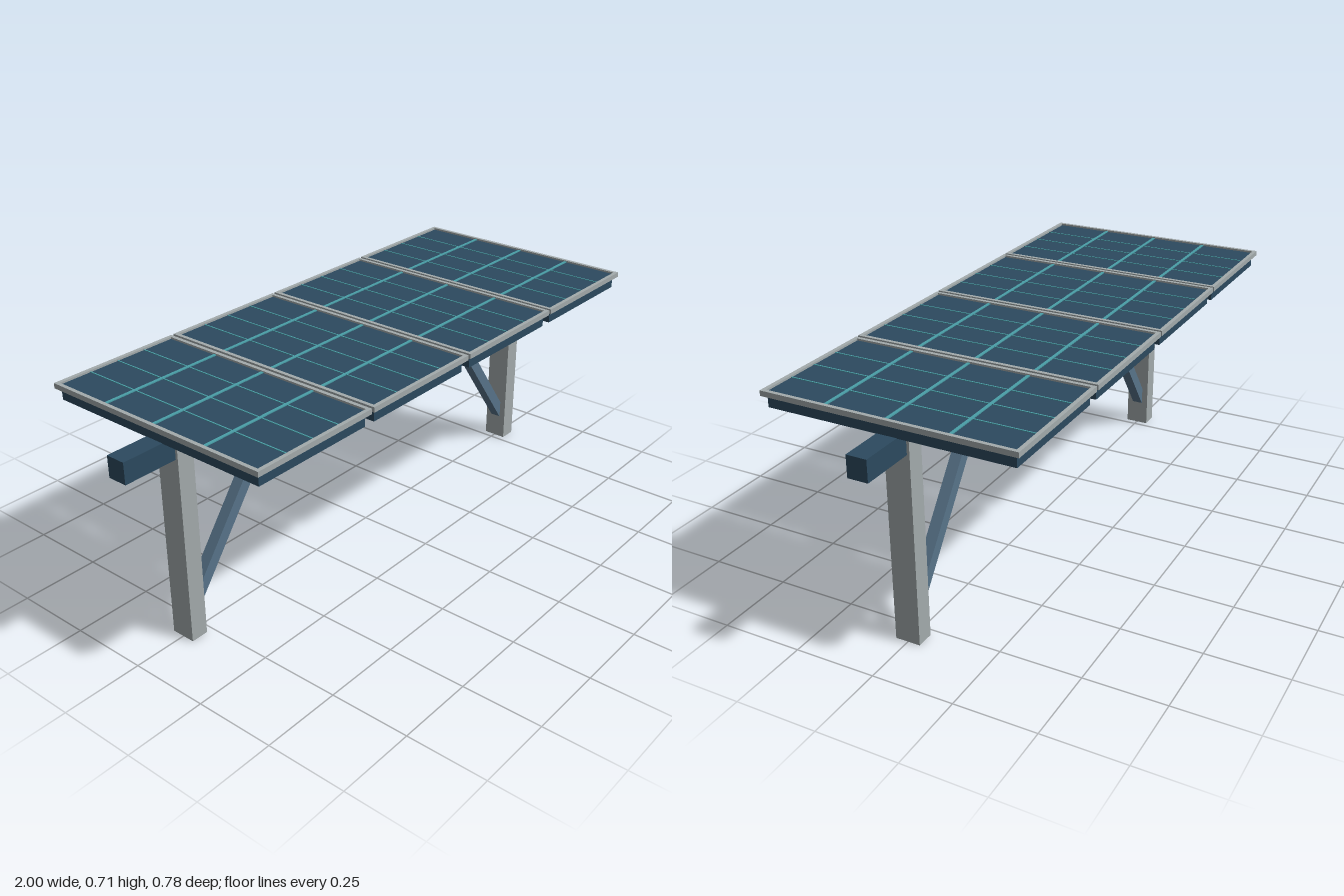
import * as THREE from 'three';

const mat = (name, color) => {
  const m = new THREE.MeshStandardMaterial({ color });
  m.name = name;
  return m;
};

export function createModel() {
  const navy = mat('navy', 0x2c4a5f);
  const steel = mat('pale steel', 0xa3abac);
  const slate = mat('slate', 0x58748a);
  const teal = mat('teal', 0x4a9fa8);

  const model = new THREE.Group();
  model.name = 'solarCanopy';

  const box = (parent, name, material, [w, h, d], [x, y, z]) => {
    const mesh = new THREE.Mesh(new THREE.BoxGeometry(w, h, d), material);
    mesh.name = name;
    mesh.position.set(x, y, z);
    parent.add(mesh);
    return mesh;
  };

  // Main beam along the canopy
  box(model, 'beam', navy, [2, 0.066, 0.062], [0, 0.625, 0]);

  // Posts and diagonal braces, mirrored
  for (const s of [-1, 1]) {
    const side = s > 0 ? 'left' : 'right';
    box(model, side + 'Post', steel, [0.056, 0.657, 0.078], [s * 0.8, 0.3285, 0]);
    const low = new THREE.Vector2(0.785, 0.093);
    const high = new THREE.Vector2(0.41, 0.605);
    const run = high.clone().sub(low);
    const brace = box(model, side + 'Brace', slate, [0.036, run.length(), 0.036],
      [s * (low.x + high.x) / 2, (low.y + high.y) / 2, 0]);
    brace.rotation.z = s * Math.atan2(-run.x, run.y);
  }

  // Rectangular rim with an opening for the glass
  const W = 0.434, D = 0.778, RIM = 0.012;
  const rect = (Type, w, d) => {
    const p = new Type();
    p.moveTo(-w / 2, -d / 2);
    p.lineTo(w / 2, -d / 2);
    p.lineTo(w / 2, d / 2);
    p.lineTo(-w / 2, d / 2);
    p.closePath();
    return p;
  };
  const rim = rect(THREE.Shape, W, D);
  rim.holes.push(rect(THREE.Path, W - 2 * RIM, D - 2 * RIM));
  const rimGeometry = new THREE.ExtrudeGeometry(rim, { depth: 0.016, bevelEnabled: false });
  rimGeometry.rotateX(-Math.PI / 2);

  // Four panels: tray, glass, rim and cell lines
  for (let i = 0; i < 4; i++) {
    const panel = new THREE.Group();
    panel.name = 'panel' + (i + 1);
    panel.position.x = (i - 1.5) * 0.4435;
    model.add(panel);

    const innerW = W - 2 * RIM, innerD = D - 2 * RIM;
    box(panel, 'tray', navy, [0.406, 0.04, 0.752], [0, 0.677, 0]);
    box(panel, 'glass', navy, [innerW, 0.01, innerD], [0, 0.698, 0]);

    const frame = new THREE.Mesh(rimGeometry, steel);
    frame.name = 'frame';
    frame.position.y = 0.693;
    panel.add(frame);

    for (const k of [-1, 0, 1]) {
      box(panel, 'crossLine', teal, [innerW, 0.003, 0.009], [0, 0.7045, k * 0.189]);
      box(panel, 'lengthLine', teal, [0.004, 0.002, innerD], [k * 0.099, 0.704, 0]);
    }
  }

  return model;
}
